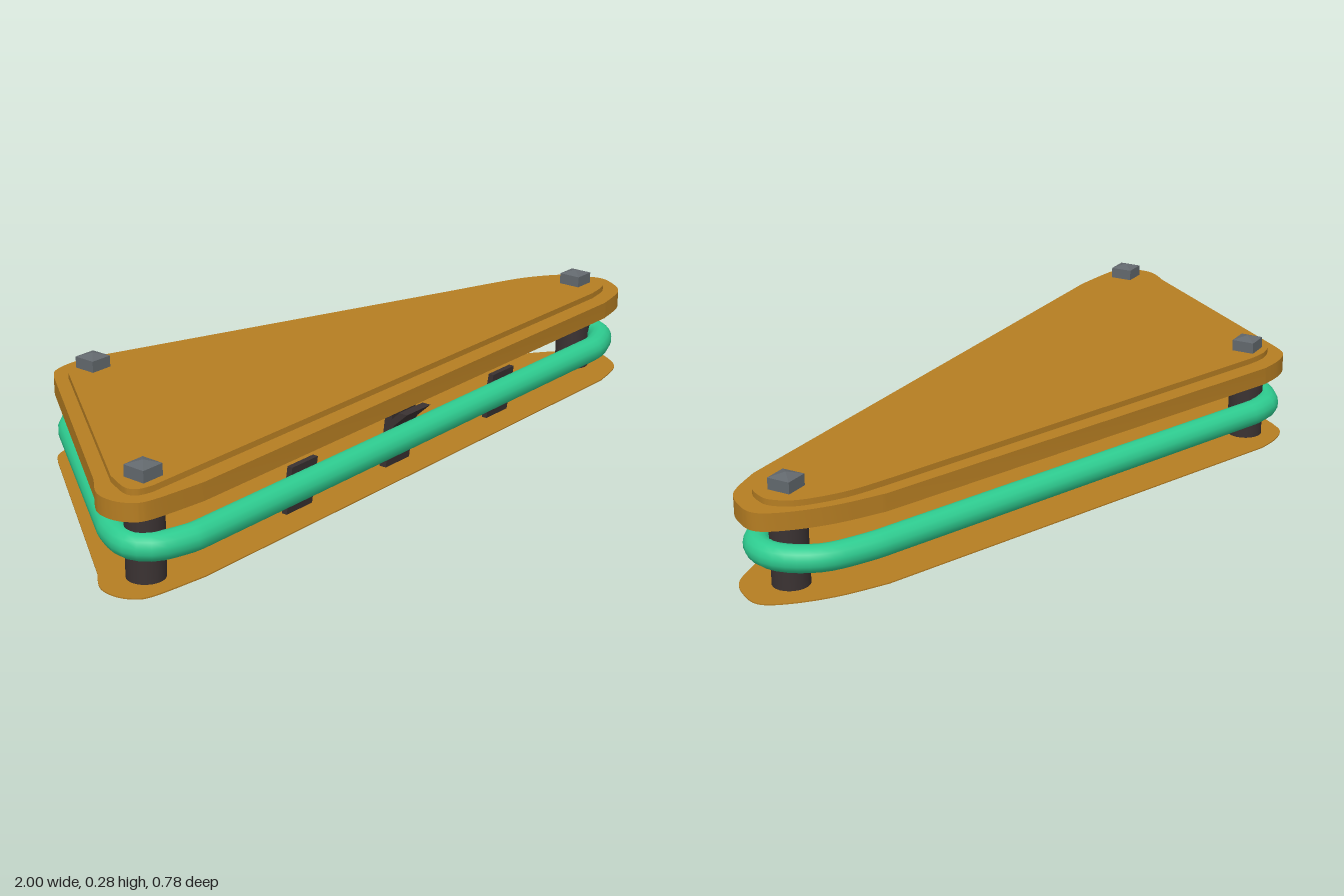
import * as THREE from 'three';
import { toCreasedNormals } from 'three/addons/utils/BufferGeometryUtils.js';

const orange = new THREE.MeshStandardMaterial({ name: 'amber plastic', color: 0xb57d22 });
const green = new THREE.MeshStandardMaterial({ name: 'green rubber', color: 0x2ecc90 });
const dark = new THREE.MeshStandardMaterial({ name: 'dark post', color: 0x3a3232 });
const steel = new THREE.MeshStandardMaterial({ name: 'grey steel', color: 0x62686d });

// Corner curves as [x, z] points, joined by straight edges
const plateCorners = [
  [[-0.945, 0.187], [-0.99, 0.24], [-1, 0.29], [-0.985, 0.333], [-0.945, 0.36], [-0.8, 0.38]],
  [[0.82, 0.38], [0.93, 0.353], [0.985, 0.295], [1, 0.24], [0.957, 0.176], [0.877, 0.107], [0.77, 0.044]],
  [[-0.395, -0.385], [-0.465, -0.392], [-0.524, -0.38], [-0.56, -0.345]],
];
const insetCorners = [
  [[-0.93, 0.225], [-0.955, 0.29], [-0.945, 0.32], [-0.91, 0.332]],
  [[0.83, 0.332], [0.91, 0.315], [0.945, 0.27], [0.95, 0.23], [0.92, 0.175], [0.83, 0.11], [0.72, 0.065]],
  [[-0.4, -0.335], [-0.46, -0.348], [-0.51, -0.34], [-0.54, -0.315]],
];
const ringCorners = [
  [[-0.9, 0.19], [-0.931, 0.27], [-0.9, 0.33], [-0.81, 0.359]],
  [[0.81, 0.359], [0.905, 0.315], [0.937, 0.235], [0.89, 0.14], [0.78, 0.075]],
  [[-0.4, -0.353], [-0.475, -0.357], [-0.545, -0.31]],
];

function outline(corners) {
  const shape = new THREE.Shape();
  corners.forEach((corner, i) => {
    const pts = corner.map(([x, z]) => new THREE.Vector2(x, -z));
    if (i === 0) shape.moveTo(pts[0].x, pts[0].y);
    else shape.lineTo(pts[0].x, pts[0].y);
    shape.splineThru(pts.slice(1));
  });
  shape.closePath();
  return shape;
}

function slab(corners, y0, y1) {
  const geo = new THREE.ExtrudeGeometry(outline(corners), { depth: y1 - y0, bevelEnabled: false, curveSegments: 6 });
  geo.rotateX(-Math.PI / 2).translate(0, y0, 0);
  return toCreasedNormals(geo, 0.6);
}

// Strip with a [z, y] side profile, given its width along x
function strip(profile, x, width) {
  const shape = new THREE.Shape(profile.map(([z, y]) => new THREE.Vector2(-z, y)));
  const geo = new THREE.ExtrudeGeometry(shape, { depth: width, bevelEnabled: false });
  return geo.rotateY(Math.PI / 2).translate(x - width / 2, 0, 0);
}

export function createModel() {
  const group = new THREE.Group();
  const add = (name, geo, mat, parent = group) => {
    const mesh = new THREE.Mesh(geo, mat);
    mesh.name = name;
    parent.add(mesh);
    return mesh;
  };

  // Plates
  add('basePlate', slab(plateCorners, 0, 0.003), orange);
  add('topPlate', slab(plateCorners, 0.183, 0.228), orange);
  add('topPlateInset', slab(insetCorners, 0.228, 0.243), orange);

  // Stretched rubber ring
  const path = outline(ringCorners).getSpacedPoints(140).slice(0, -1)
    .map((p) => new THREE.Vector3(p.x, 0.0955, -p.y));
  const curve = new THREE.CatmullRomCurve3(path, true);
  add('rubberRing', new THREE.TubeGeometry(curve, 180, 0.033, 14, true), green);

  // Posts, each with a square pointed bolt head
  for (const [x, z] of [[-0.885, 0.28], [-0.472, -0.297], [0.878, 0.243]]) {
    const post = new THREE.Group();
    post.name = 'post';
    post.position.set(x, 0, z);
    group.add(post);
    add('postColumn', new THREE.CylinderGeometry(0.046, 0.046, 0.182, 24).translate(0, 0.093, 0), dark, post);
    add('boltHead', new THREE.BoxGeometry(0.06, 0.03, 0.06).translate(0, 0.257, 0), steel, post);
    const cap = new THREE.ConeGeometry(0.03 * Math.SQRT2, 0.01, 4).toNonIndexed();
    cap.computeVertexNormals();
    add('boltCap', cap.rotateY(Math.PI / 4).translate(0, 0.277, 0), steel, post);
  }

  // Leaf switch blades behind the front of the ring
  for (const x of [-0.402, 0.408]) {
    add('switchBlade', strip([[0.3, 0.01], [0.315, 0.01], [0.333, 0.135], [0.318, 0.135]], x, 0.093), dark);
  }

  // Kicker arm: upright blade plus a tip hooked over the ring
  add('kickerBlade', strip([[0.298, 0.01], [0.318, 0.01], [0.337, 0.165], [0.316, 0.165]], -0.026, 0.095), dark);
  add('kickerTip', strip([[0.31, 0.1], [0.325, 0.1], [0.342, 0.128], [0.381, 0.165], [0.357, 0.165], [0.32, 0.128]], -0.026, 0.095), dark);

  return group;
}
